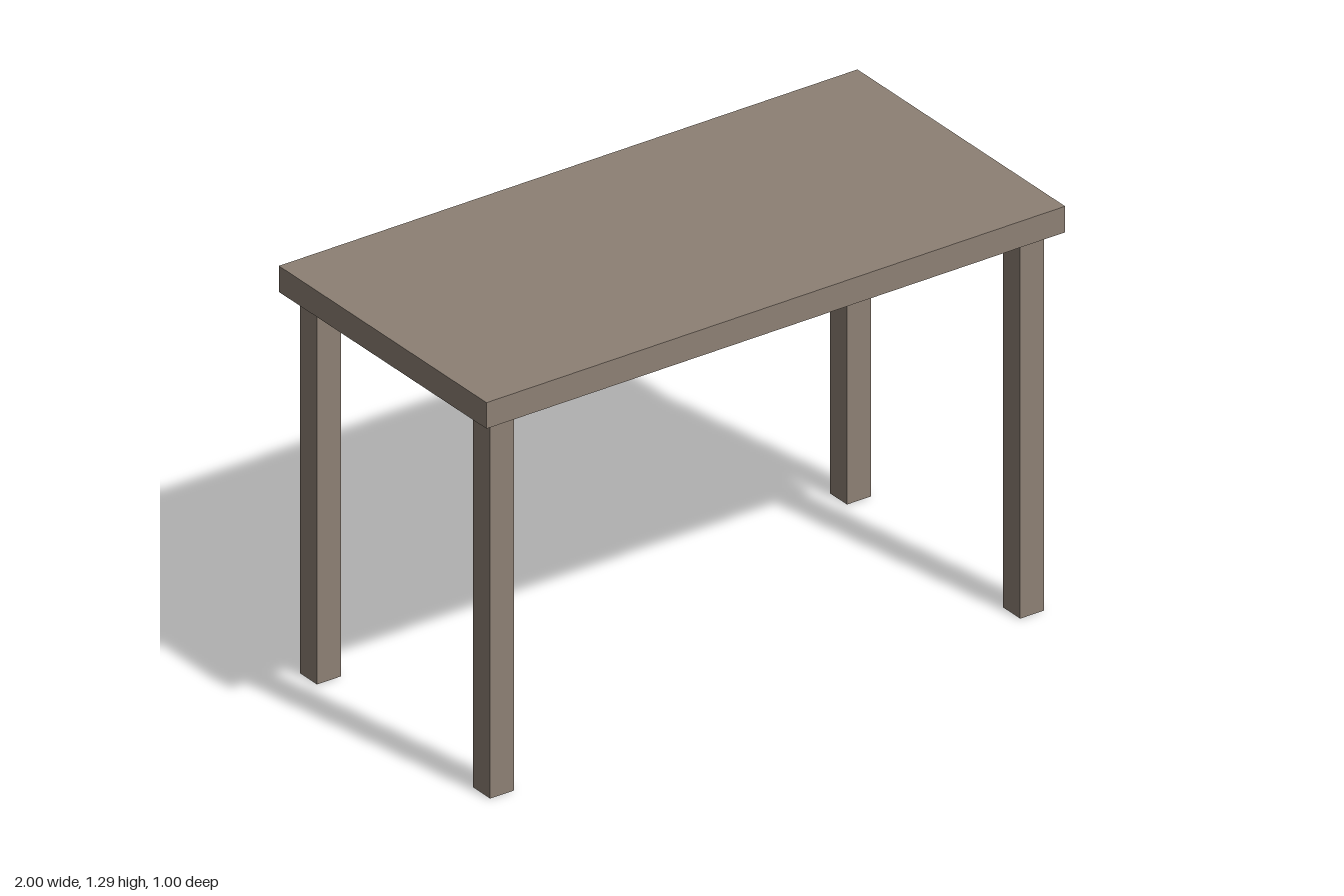
import * as THREE from 'three';

export function createModel() {
  const group = new THREE.Group();
  group.name = 'table';
  const wood = new THREE.MeshStandardMaterial({ color: 0x8d8074 });
  wood.name = 'greyBrownWood';

  const thickness = 0.083;  // shared by the slab and the square legs
  const legHeight = 1.21;

  const addBox = (name, size, position) => {
    const mesh = new THREE.Mesh(new THREE.BoxGeometry(...size), wood);
    mesh.name = name;
    mesh.position.set(...position);
    group.add(mesh);
  };

  // Flat slab
  addBox('tableTop', [2, thickness, 1], [0, legHeight + thickness / 2, 0]);

  // Four square legs, set in slightly from the corners
  for (const [side, x] of [['Left', 0.916], ['Right', -0.916]]) {
    for (const [end, z] of [['front', 0.417], ['back', -0.417]]) {
      addBox(`${end}${side}Leg`, [thickness, legHeight, thickness], [x, legHeight / 2, z]);
    }
  }
  return group;
}
